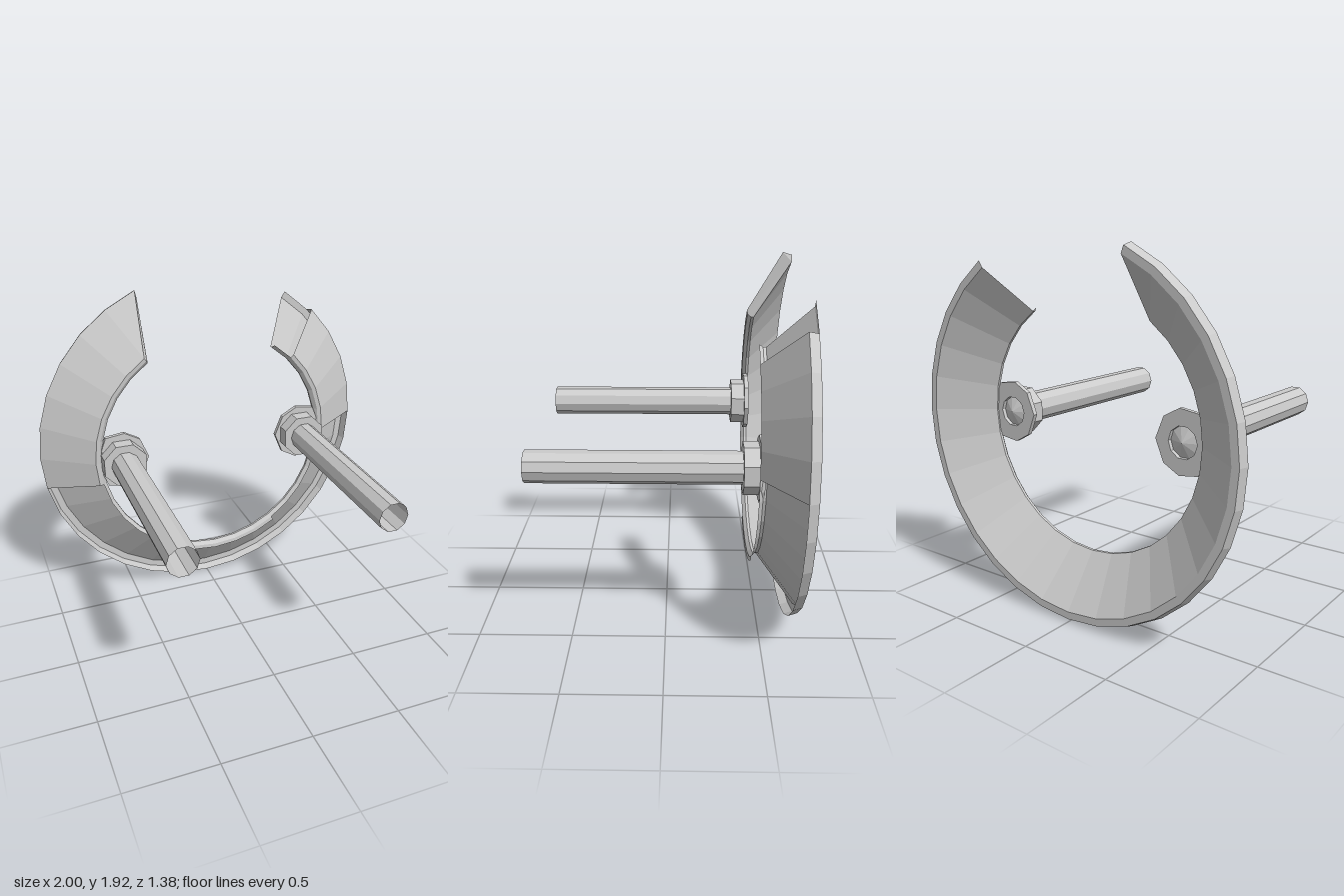
import * as THREE from 'three';

const material = new THREE.MeshStandardMaterial({ color: 0xcccccc, flatShading: true, side: THREE.DoubleSide });

function addMesh(parent, name, geometry) {
  const mesh = new THREE.Mesh(geometry, material);
  mesh.name = name;
  parent.add(mesh);
  return mesh;
}

// Ring cross-section as [radius, z], from the back flange round to the inner lip
const profile = [
  [0.945, -0.69], [0.985, -0.69], [1.0, -0.642], [0.715, -0.452],
  [0.692, -0.455], [0.672, -0.475], [0.672, -0.49],
];
const STEP = Math.PI / 16;

// The left end is cut on a slant: the inner half stops one step earlier
function ringPoint(i, j) {
  const k = j % profile.length;
  const [r, z] = profile[k];
  const a = (k >= 3 ? Math.max(i, 11) : i) * STEP;
  return [r * Math.cos(a), 1 + r * Math.sin(a), z];
}

// One band of the ring between profile points j and j + 1, over the given step ranges
function ringBand(j, ranges) {
  const pos = [];
  for (const [from, to] of ranges) {
    for (let i = from; i < to; i++) {
      const a = ringPoint(i, j), b = ringPoint(i + 1, j);
      const c = ringPoint(i + 1, j + 1), d = ringPoint(i, j + 1);
      pos.push(...a, ...b, ...c, ...a, ...c, ...d);
    }
  }
  return toGeometry(pos);
}

function toGeometry(pos) {
  const geometry = new THREE.BufferGeometry();
  geometry.setAttribute('position', new THREE.Float32BufferAttribute(pos, 3));
  geometry.computeVertexNormals();
  return geometry;
}

function createRing() {
  const ring = new THREE.Group();
  ring.name = 'ring';
  const full = [[10, 37]];
  // The front cone only covers the two upper arms; the trough below is open
  addMesh(ring, 'backFlange', ringBand(0, full));
  addMesh(ring, 'outerRim', ringBand(1, [[10, 36]]));
  addMesh(ring, 'frontCone', ringBand(2, [[10, 17], [32, 36]]));
  addMesh(ring, 'frontLip', ringBand(3, [[10, 17], [22, 27], [32, 36]]));
  addMesh(ring, 'innerLip', ringBand(4, full));
  addMesh(ring, 'innerEdge', ringBand(5, full));
  addMesh(ring, 'backCone', ringBand(6, full));

  // Closing face of the slanted end
  const cap = [];
  for (let j = 1; j < profile.length - 1; j++) {
    cap.push(...ringPoint(10, 0), ...ringPoint(10, j), ...ringPoint(10, j + 1));
  }
  addMesh(ring, 'endCap', toGeometry(cap));
  return ring;
}

// Post with collar and mounting plate, built about its own axis; s is the side
function createPost(s) {
  const post = new THREE.Group();
  post.name = s > 0 ? 'leftPost' : 'rightPost';
  post.position.set(s * 0.558, 1, 0);

  // Tube open at the front
  const tube = new THREE.CylinderGeometry(0.083, 0.083, 1.15, 10, 1, true);
  tube.rotateY(Math.PI / 2).rotateX(Math.PI / 2).translate(0, 0, 0.115);
  addMesh(post, 'tube', tube);

  // Shallow pointed plug at the back of the tube
  const plug = new THREE.ConeGeometry(0.083, 0.03, 10, 1, true);
  plug.rotateY(Math.PI / 2).rotateX(-Math.PI / 2).translate(0, 0, -0.475);
  addMesh(post, 'plug', plug);

  // Octagonal collar with a bore for the tube
  const collar = new THREE.Shape();
  for (let i = 0; i < 8; i++) {
    const a = (i + 0.5) * Math.PI / 4;
    collar[i ? 'lineTo' : 'moveTo'](0.132 * Math.cos(a), 0.132 * Math.sin(a));
  }
  collar.closePath();
  const bore = new THREE.Path();
  for (let i = 0; i < 10; i++) {
    const a = -i * Math.PI / 5;
    bore[i ? 'lineTo' : 'moveTo'](0.082 * Math.cos(a), 0.082 * Math.sin(a));
  }
  bore.closePath();
  collar.holes.push(bore);
  const collarGeometry = new THREE.ExtrudeGeometry(collar, { depth: 0.08, bevelEnabled: false });
  addMesh(post, 'collar', collarGeometry.translate(0, 0, -0.46));

  // Plate joining the collar to the inner lip of the ring
  const half = [[-0.157, 0], [-0.11, 0.115], [-0.02, 0.165], [0.09, 0.15], [0.117, 0.08]];
  const outline = [...half, ...half.slice(1).reverse().map(([x, y]) => [x, -y])];
  const plate = new THREE.Shape(outline.map(([x, y]) => new THREE.Vector2(s * x, y)));
  plate.holes.push(bore);
  const plateGeometry = new THREE.ExtrudeGeometry(plate, { depth: 0.025, bevelEnabled: false });
  addMesh(post, 'plate', plateGeometry.translate(0, 0, -0.482));
  return post;
}

export function createModel() {
  const model = new THREE.Group();
  model.name = 'openRingWithPosts';
  model.add(createRing());
  for (const s of [1, -1]) model.add(createPost(s));
  return model;
}
